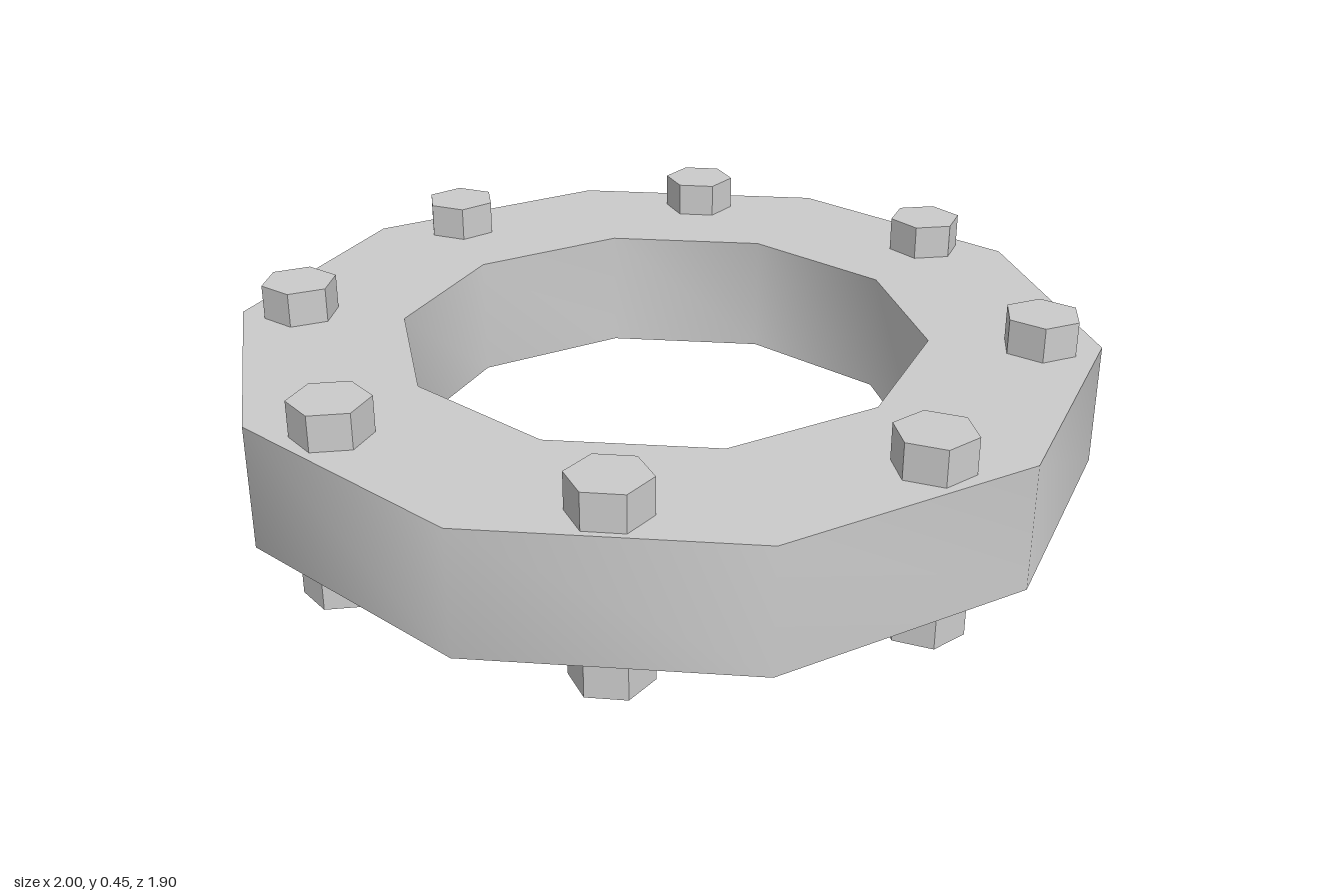
import * as THREE from 'three';
import { toCreasedNormals } from 'three/addons/utils/BufferGeometryUtils.js';

export function createModel() {
  const model = new THREE.Group();
  model.name = 'boltedFlange';
  const ringMaterial = new THREE.MeshStandardMaterial({ color: 0xcccccc });
  const boltMaterial = new THREE.MeshStandardMaterial({ color: 0xcccccc, flatShading: true });

  // Ten-sided ring: smooth around the walls, sharp at the rims
  const inner = 0.61, outer = 1, bottom = 0.083, top = 0.37, height = 0.452;
  const profile = [
    [inner, bottom], [outer, bottom], [outer, top], [inner, top], [inner, bottom],
  ].map(([r, y]) => new THREE.Vector2(r, y));
  const ringGeometry = toCreasedNormals(
    new THREE.LatheGeometry(profile, 10, Math.PI / 2), THREE.MathUtils.degToRad(50));
  const ring = new THREE.Mesh(ringGeometry, ringMaterial);
  ring.name = 'ring';
  model.add(ring);

  // Eight hexagonal bolts through the ring, corners along the tangent
  const boltGeometry = new THREE.CylinderGeometry(0.088, 0.088, height, 6);
  boltGeometry.translate(0.86, height / 2, 0);
  const bolts = new THREE.Group();
  bolts.name = 'bolts';
  for (let i = 0; i < 8; i++) {
    const bolt = new THREE.Mesh(boltGeometry, boltMaterial);
    bolt.name = `bolt${i + 1}`;
    bolt.rotation.y = -i * Math.PI / 4 - 0.012;
    bolts.add(bolt);
  }
  model.add(bolts);

  return model;
}
